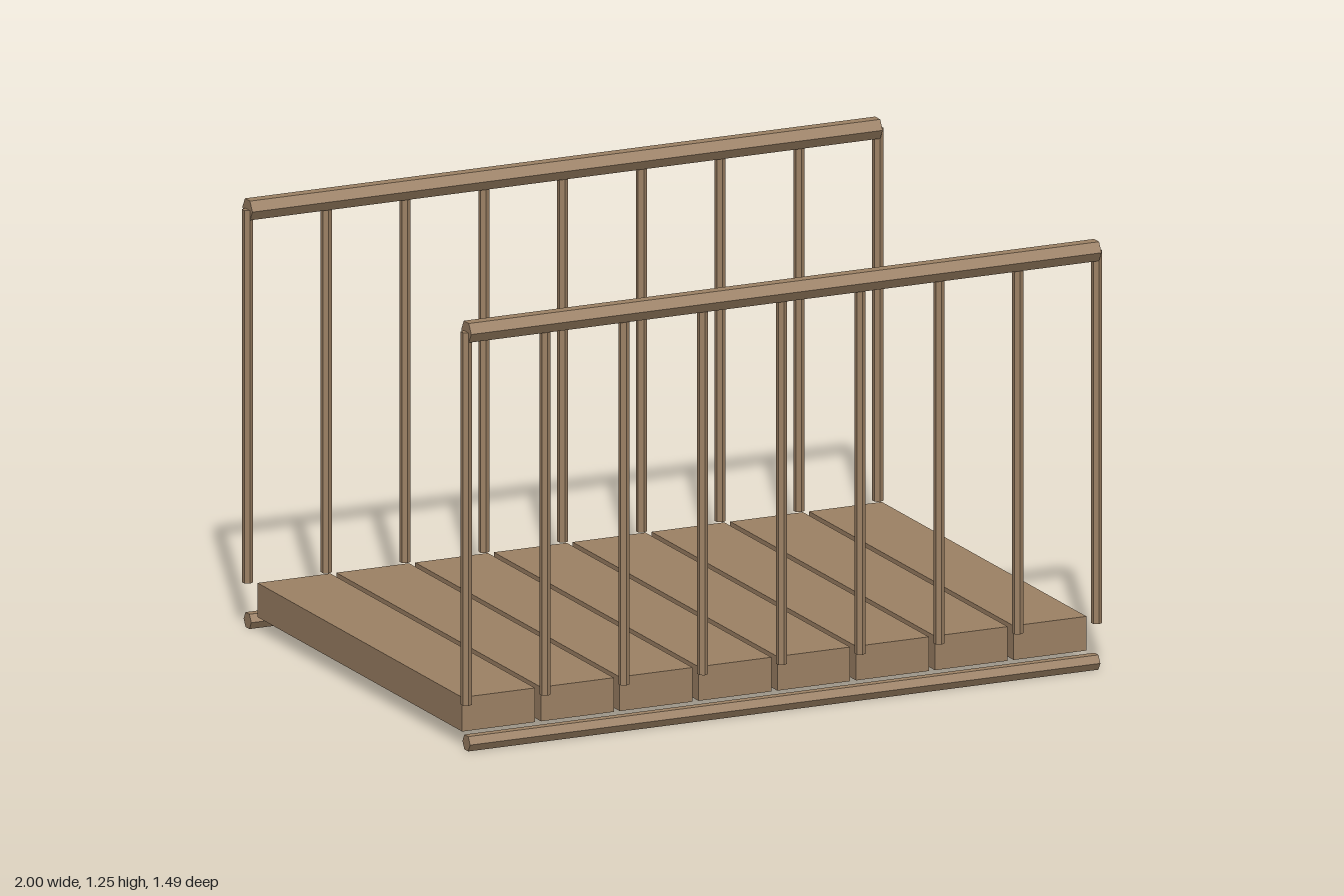
import * as THREE from 'three';

const SPACING = 0.2466; // distance between posts, and between planks
const SIDE_Z = 0.711;   // distance of each railing from the middle

export function createModel() {
  const bridge = new THREE.Group();
  bridge.name = 'bridge';
  const wood = new THREE.MeshStandardMaterial({ color: 0x9c8164 });
  wood.name = 'wood';
  wood.flatShading = true;

  const add = (parent, name, geometry, x, y, z) => {
    const mesh = new THREE.Mesh(geometry, wood);
    mesh.name = name;
    mesh.position.set(x, y, z);
    parent.add(mesh);
  };
  // six-sided pole lying along x
  const pole = (radius) => new THREE.CylinderGeometry(radius, radius, SPACING * 8, 6).rotateZ(Math.PI / 2);

  // Deck: eight separate planks
  const deck = new THREE.Group();
  deck.name = 'deck';
  bridge.add(deck);
  const plankGeo = new THREE.BoxGeometry(0.228, 0.1, 1.33);
  for (let i = 0; i < 8; i++) add(deck, 'plank', plankGeo, (i - 3.5) * SPACING, 0.0925, 0);

  // Railings: handrail, nine posts and a low support pole on each side
  const handrailGeo = pole(0.0325);
  const supportGeo = pole(0.025);
  const postGeo = new THREE.CylinderGeometry(0.0157, 0.0157, 1.092, 6);
  for (const side of [1, -1]) {
    const railing = new THREE.Group();
    railing.name = side > 0 ? 'frontRailing' : 'backRailing';
    railing.position.z = side * SIDE_Z;
    bridge.add(railing);
    add(railing, 'handrail', handrailGeo, 0, 1.226, 0);
    add(railing, 'supportPole', supportGeo, 0, 0.0217, 0);
    for (let i = -4; i <= 4; i++) add(railing, 'post', postGeo, i * SPACING, 0.68, 0);
  }
  return bridge;
}
